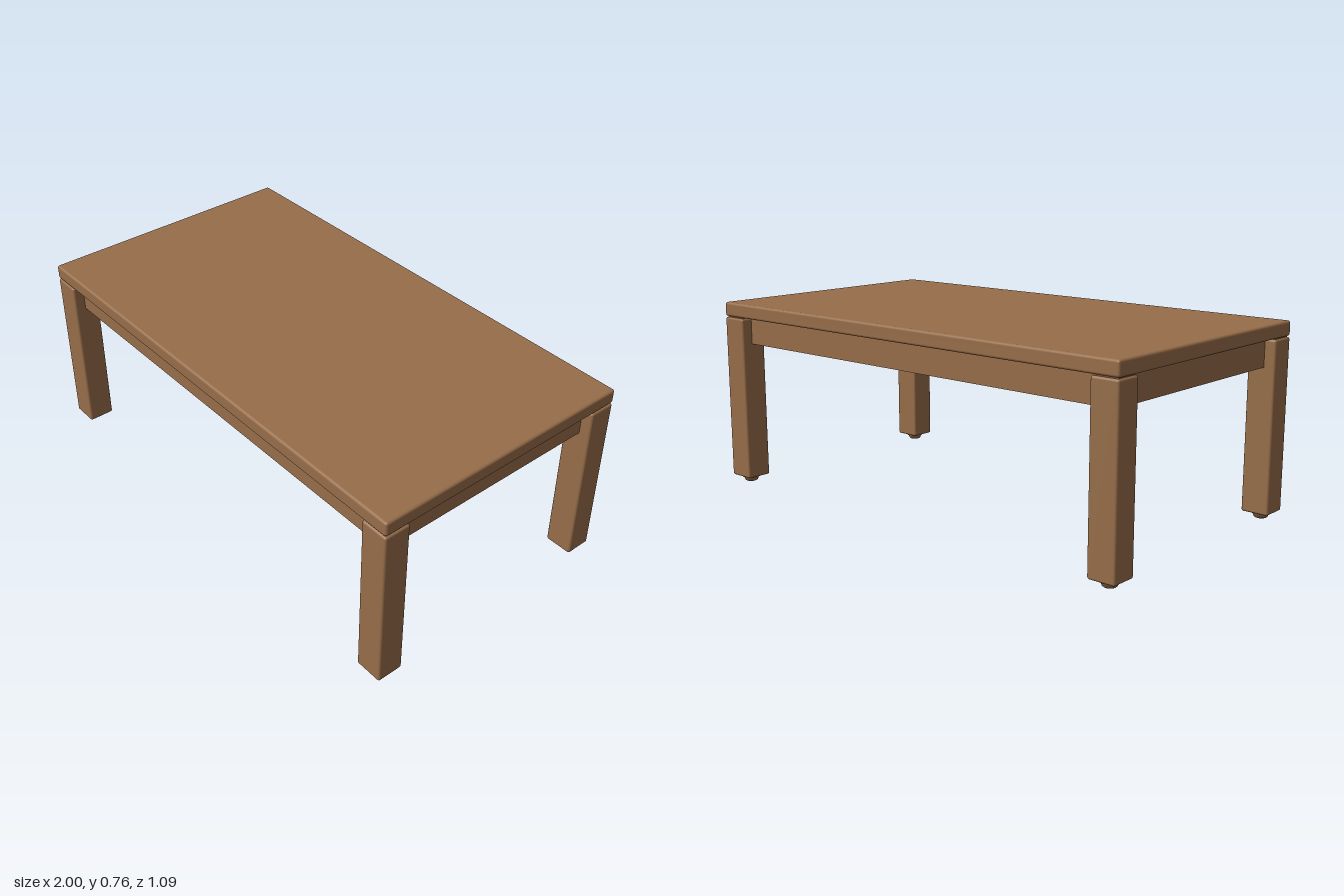
import * as THREE from 'three';
import { RoundedBoxGeometry } from 'three/addons/geometries/RoundedBoxGeometry.js';

export function createModel() {
  const table = new THREE.Group();
  table.name = 'coffeeTable';
  const wood = new THREE.MeshStandardMaterial({ color: 0x966d49 });
  wood.name = 'brown wood';

  function add(name, geometry, x, y, z, turn = 0) {
    const mesh = new THREE.Mesh(geometry, wood);
    mesh.name = name;
    mesh.position.set(x, y, z);
    mesh.rotation.y = turn;
    table.add(mesh);
    return mesh;
  }
  const box = (w, h, d) => new THREE.BoxGeometry(w, h, d);

  // Slab with softly rounded edges
  add('tableTop', new RoundedBoxGeometry(2, 0.058, 1.09, 3, 0.01), 0, 0.735, 0);

  // Legs with small tapered glides and diagonal corner braces
  const footProfile = [[0, 0], [0.022, 0], [0.027, 0.004], [0.029, 0.012], [0.036, 0.018], [0.036, 0.03]]
    .map(([r, y]) => new THREE.Vector2(r, y));
  for (const sx of [-1, 1]) {
    for (const sz of [-1, 1]) {
      const x = sx * 0.943, z = sz * 0.491;
      add('leg', new RoundedBoxGeometry(0.113, 0.677, 0.108, 3, 0.009), x, 0.3635, z);
      add('legTenon', box(0.095, 0.02, 0.09), x, 0.702, z);
      add('foot', new THREE.LatheGeometry(footProfile, 20), x, 0, z);
      add('cornerBrace', box(0.15, 0.07, 0.025), sx * 0.862, 0.66, sz * 0.41, sx * sz * Math.PI / 4);
    }
  }

  // Aprons set back from the leg faces
  for (const s of [-1, 1]) {
    add('longApron', box(1.8, 0.115, 0.04), 0, 0.6525, s * 0.48);
    add('endApron', box(0.04, 0.115, 0.9), s * 0.935, 0.6525, 0);
    // Cross battens under the slab, near each end
    add('endBatten', box(0.1, 0.02, 0.92), s * 0.77, 0.698, 0);
    add('endCleat', box(0.05, 0.045, 0.88), s * 0.893, 0.686, 0);
  }
  return table;
}
